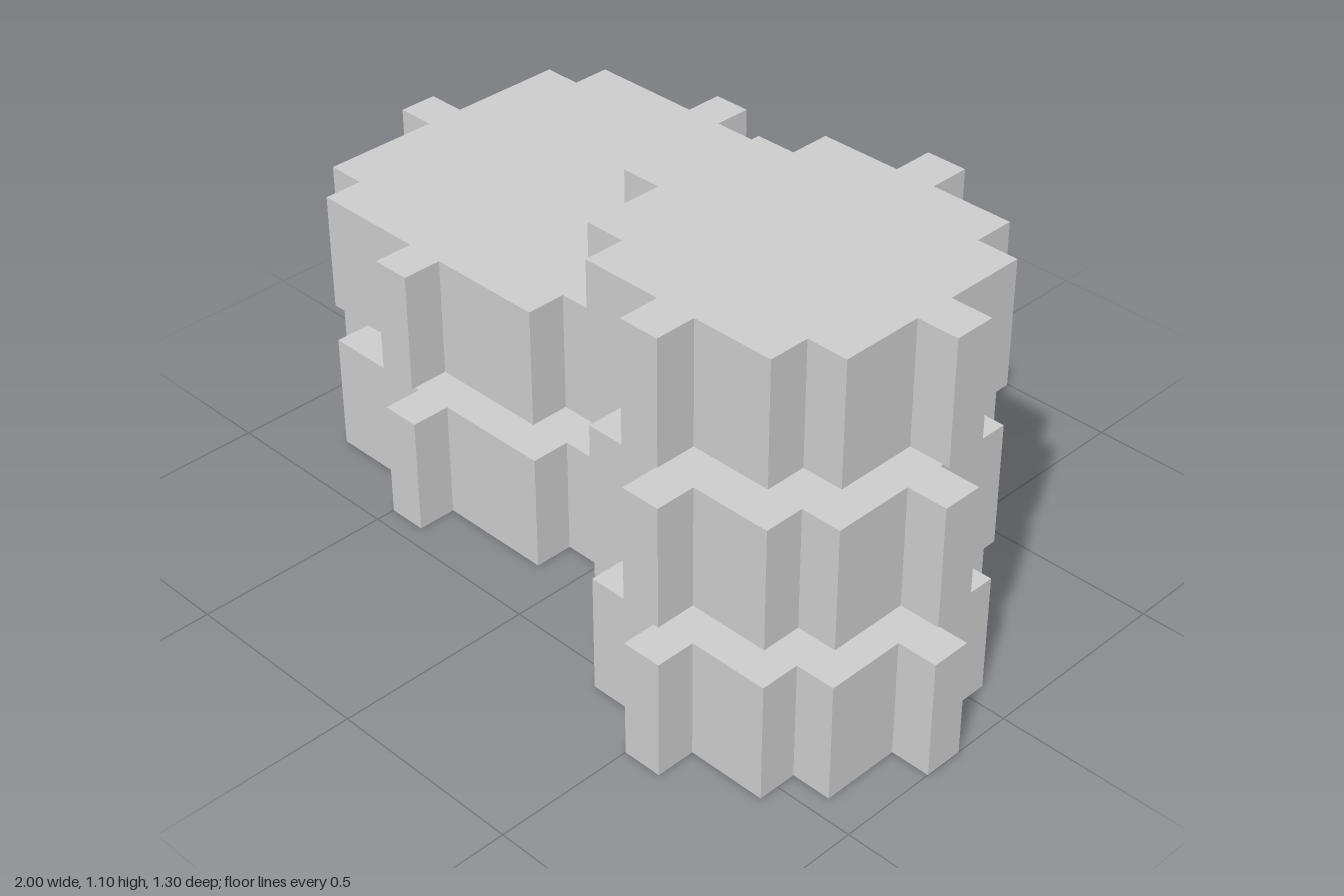
import * as THREE from 'three';

const THICKNESS = 0.3;
const PITCH = 0.4; // vertical spacing, leaves a 0.1 gap between discs

// Stepped disc with a small tab on each of its four sides, standing on y = 0
function steppedDisc(r) {
  const quarter = [
    [r, 0.05], [r - 0.1, 0.05], [r - 0.1, r - 0.2], [r - 0.2, r - 0.2],
    [r - 0.2, r - 0.1], [0.05, r - 0.1], [0.05, r],
  ];
  const points = [];
  for (let q = 0; q < 4; q++) {
    for (const [x, y] of quarter) {
      points.push(new THREE.Vector2(x, y).rotateAround(new THREE.Vector2(), q * Math.PI / 2));
    }
  }
  const geometry = new THREE.ExtrudeGeometry(new THREE.Shape(points), { depth: THICKNESS, bevelEnabled: false });
  return geometry.rotateX(-Math.PI / 2);
}

// Column of identical discs floating one above another
function discStack(name, radius, count, x, z, material) {
  const stack = new THREE.Group();
  stack.name = name + 'Stack';
  stack.position.set(x, 0, z);
  const geometry = steppedDisc(radius);
  for (let i = 0; i < count; i++) {
    const disc = new THREE.Mesh(geometry, material);
    disc.name = name + 'Disc' + (i + 1);
    disc.position.y = i * PITCH;
    stack.add(disc);
  }
  return stack;
}

export function createModel() {
  const model = new THREE.Group();
  model.name = 'discStacks';
  const material = new THREE.MeshStandardMaterial({ color: 0xcccccc, flatShading: true });
  model.add(
    discStack('large', 0.55, 2, -0.45, -0.1, material),
    discStack('small', 0.45, 3, 0.55, 0.2, material),
  );
  return model;
}
